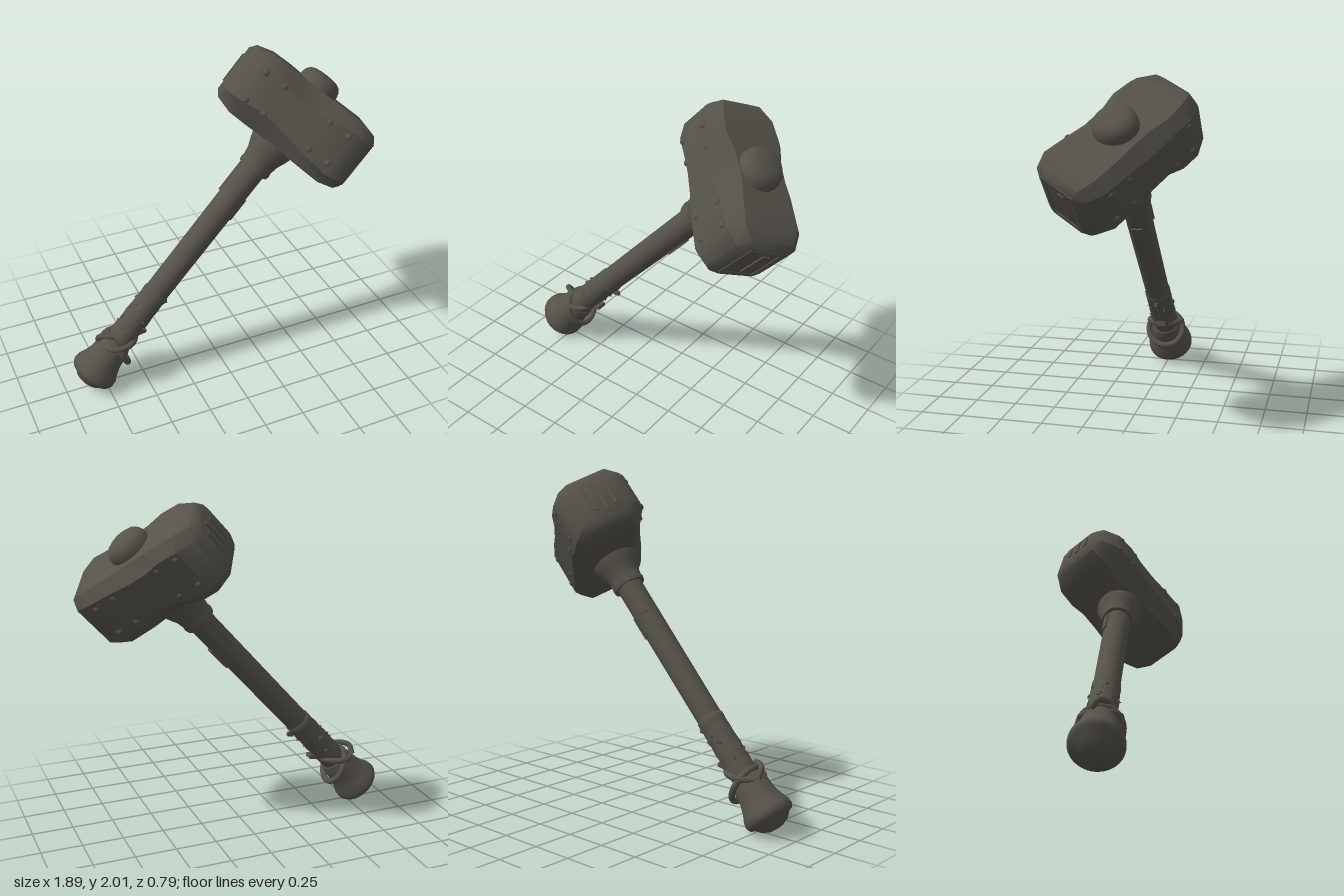
import * as THREE from 'three';
import { toCreasedNormals } from 'three/addons/utils/BufferGeometryUtils.js';

const iron = new THREE.MeshStandardMaterial({ color: 0x55524a });
iron.name = 'dark iron';

function add(parent, name, geometry, x = 0, y = 0, z = 0) {
  const mesh = new THREE.Mesh(geometry, iron);
  mesh.name = name;
  mesh.position.set(x, y, z);
  parent.add(mesh);
  return mesh;
}

// turned part, profile listed from bottom to top as [radius, height]
function turned(profile, sides = 32) {
  const points = profile.map(([r, y]) => new THREE.Vector2(r, y));
  return toCreasedNormals(new THREE.LatheGeometry(points, sides), 0.7);
}

// block lofted along x; stations are [x, half height, half width,
// then the chamfers: top front, bottom front, bottom back, top back]
function chamferedBlock(stations) {
  const pos = [], index = [], n = 8;
  for (const [x, h, b, tf, bf, bb, tb] of stations) {
    const ring = [[h, b - tf], [h - tf, b], [bf - h, b], [-h, b - bf],
      [-h, bb - b], [bb - h, -b], [h - tb, -b], [h, tb - b]];
    for (const [y, z] of ring) pos.push(x, y, z);
  }
  const last = stations.length - 1;
  for (let i = 0; i < last; i++) {
    for (let j = 0; j < n; j++) {
      const k = (j + 1) % n;
      const a = i * n + j, b = i * n + k, c = b + n, d = a + n;
      index.push(a, b, c, a, c, d);
    }
  }
  for (let j = 1; j < n - 1; j++) {
    index.push(0, j + 1, j, last * n, last * n + j, last * n + j + 1);
  }
  const g = new THREE.BufferGeometry();
  g.setAttribute('position', new THREE.Float32BufferAttribute(pos, 3));
  g.setIndex(index);
  return toCreasedNormals(g, 0.7);
}

// tapered rectangle outline
function panelPath(path, w, h) {
  path.moveTo(-w, -h * 0.85);
  path.lineTo(-w * 0.85, -h);
  path.lineTo(w * 0.85, -h);
  path.lineTo(w, -h * 0.85);
  path.lineTo(w * 0.95, h);
  path.lineTo(-w * 0.95, h);
  path.closePath();
  return path;
}

function buildHead() {
  const head = new THREE.Group();
  head.name = 'hammerHead';
  add(head, 'headBlock', chamferedBlock([
    [-0.45, 0.14, 0.135, 0.045, 0.045, 0.04, 0.045],
    [-0.42, 0.178, 0.185, 0.065, 0.07, 0.045, 0.06],
    [-0.32, 0.205, 0.235, 0.07, 0.1, 0.055, 0.065],
    [-0.2, 0.208, 0.242, 0.07, 0.12, 0.065, 0.06],
    [-0.1, 0.205, 0.238, 0.1, 0.115, 0.105, 0.075],
    [0.03, 0.205, 0.238, 0.11, 0.1, 0.1, 0.075],
    [0.15, 0.208, 0.24, 0.095, 0.08, 0.08, 0.065],
    [0.32, 0.21, 0.237, 0.07, 0.065, 0.07, 0.06],
    [0.415, 0.188, 0.192, 0.055, 0.055, 0.055, 0.05],
    [0.445, 0.158, 0.142, 0.04, 0.04, 0.04, 0.04],
  ]));

  // framed panel with a long bar on the front striking face
  const front = new THREE.Group();
  front.name = 'frontStrikingFace';
  front.position.x = 0.438;
  front.rotation.y = Math.PI / 2;
  const frame = panelPath(new THREE.Shape(), 0.125, 0.145);
  frame.holes.push(panelPath(new THREE.Path(), 0.1, 0.122));
  add(front, 'faceFrame', new THREE.ExtrudeGeometry(frame, {
    depth: 0.008, bevelSize: 0.005, bevelThickness: 0.005, bevelSegments: 1 }));
  add(front, 'faceBar', new THREE.BoxGeometry(0.045, 0.2, 0.03), 0.02);
  head.add(front);

  // plain raised bars on the back striking face
  const back = new THREE.Group();
  back.name = 'backStrikingFace';
  back.position.x = -0.447;
  back.rotation.y = -Math.PI / 2;
  for (const [x, length] of [[-0.065, 0.13], [0, 0.19], [0.065, 0.15]]) {
    add(back, 'faceBar', new THREE.BoxGeometry(0.024, length, 0.022), x);
  }
  head.add(back);

  // low rivets along both broad sides
  const rivet = new THREE.SphereGeometry(0.019, 12, 8).scale(1, 1, 0.55);
  for (const side of [-1, 1]) {
    for (const row of [-1, 1]) {
      for (const x of [-0.29, -0.16, 0.16, 0.29]) {
        add(head, 'rivet', rivet, x, row > 0 ? 0.105 : -0.085, side * 0.238);
      }
    }
  }

  // domed end of the shaft on top
  add(head, 'topBoss', turned([[0.128, 0.18], [0.126, 0.225], [0.118, 0.252], [0.102, 0.272],
    [0.075, 0.284], [0.04, 0.289], [0, 0.291]]));
  return head;
}

function buildHandle() {
  const handle = new THREE.Group();
  handle.name = 'handle';
  add(handle, 'shaft', new THREE.CylinderGeometry(0.079, 0.073, 1.55, 28, 1), 0, -1.05, 0);
  add(handle, 'socket', turned([[0.075, -0.4], [0.098, -0.4], [0.102, -0.38], [0.098, -0.36],
    [0.106, -0.31], [0.13, -0.25], [0.142, -0.21], [0.142, -0.17]]));

  // raised strips on the shaft
  add(handle, 'lowerStrip', new THREE.BoxGeometry(0.02, 0.15, 0.06), 0.076, -0.655, 0);
  const strip = add(handle, 'backStrip', new THREE.BoxGeometry(0.045, 0.22, 0.016), -0.045, -0.51, -0.063);
  strip.rotation.y = 0.62;

  // wrapped grip with a slim collar
  add(handle, 'gripWrap', turned([[0.07, -1.76], [0.08, -1.75], [0.083, -1.66], [0.079, -1.62],
    [0.083, -1.55], [0.079, -1.49], [0.081, -1.44], [0.078, -1.4], [0.081, -1.385],
    [0.081, -1.355], [0.073, -1.345]]));

  // torn scraps scattered round the grip
  let seed = 7;
  const random = () => (seed = (seed * 16807) % 2147483647) / 2147483647;
  const scrap = new THREE.TetrahedronGeometry(0.014);
  for (let i = 0; i < 26; i++) {
    const a = random() * Math.PI * 2;
    const mesh = add(handle, 'wrapScrap', scrap,
      0.08 * Math.cos(a), -1.68 + random() * 0.24, 0.08 * Math.sin(a));
    mesh.rotation.set(random() * 3, random() * 3, random() * 3);
  }
  for (const [x, y, length, width] of [[0.09, -1.39, 0.04, 0.02], [0.088, -1.62, 0.05, 0.06]]) {
    const tail = add(handle, 'looseTail', new THREE.BoxGeometry(0.025, length, width), x, y, 0);
    tail.rotation.z = -0.7;
  }

  // flared pommel with a domed base
  add(handle, 'pommel', turned([[0, -2.088], [0.045, -2.083], [0.085, -2.065], [0.112, -2.035],
    [0.135, -2.026], [0.147, -2.005], [0.145, -1.975], [0.125, -1.93], [0.11, -1.88],
    [0.106, -1.82], [0.098, -1.78], [0.086, -1.75], [0.07, -1.745]]));

  // cord looped round the neck of the pommel
  for (const [x, y, tilt, r] of [[0.025, -1.785, -0.42, 0.115], [-0.01, -1.735, 0.8, 0.104]]) {
    const loop = new THREE.TorusGeometry(r, 0.019, 10, 40).rotateX(Math.PI / 2);
    add(handle, 'cordLoop', loop, x, y, 0).rotation.z = tilt;
  }
  const end = new THREE.CatmullRomCurve3([[-0.08, -1.71, 0.05], [-0.11, -1.735, 0.03],
    [-0.13, -1.77, 0], [-0.1, -1.81, -0.04]].map((p) => new THREE.Vector3(...p)));
  add(handle, 'cordEnd', new THREE.TubeGeometry(end, 16, 0.018, 8));
  return handle;
}

export function createModel() {
  const model = new THREE.Group();
  model.name = 'warHammer';

  // the whole hammer leans over, with the head twisted about the shaft
  const hammer = new THREE.Group();
  hammer.name = 'leaningHammer';
  hammer.position.set(0.512, 1.6, 0);
  hammer.rotation.z = -0.726;
  const head = buildHead();
  head.rotation.y = -0.61;
  hammer.add(head, buildHandle());
  model.add(hammer);
  return model;
}
